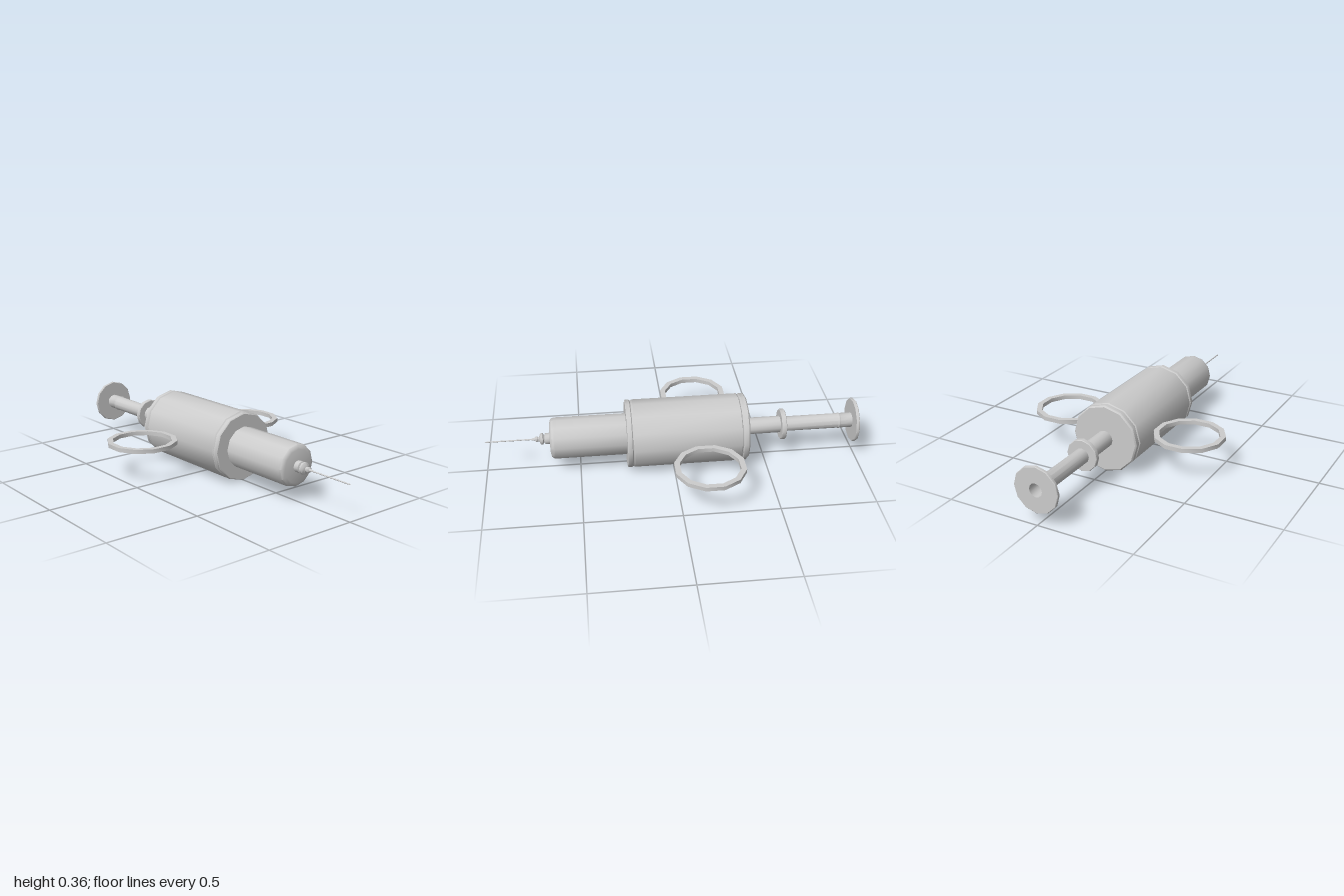
import * as THREE from 'three';
import { toCreasedNormals } from 'three/addons/utils/BufferGeometryUtils.js';

const SIDES = 12;
const AXIS_Y = 0.185;

export function createModel() {
  const model = new THREE.Group();
  const material = new THREE.MeshStandardMaterial({ color: 0xcccccc });

  // Revolves [radius, height] points; sharp profile corners stay creased.
  const revolve = (profile, phase = 0) => toCreasedNormals(
    new THREE.LatheGeometry(profile.map(([r, h]) => new THREE.Vector2(r, h)), SIDES, phase), 0.65);

  const add = (name, geometry, x, y, z) => {
    const mesh = new THREE.Mesh(geometry, material);
    mesh.name = name;
    mesh.position.set(x, y, z);
    model.add(mesh);
  };

  // Parts along the syringe axis: heights are z positions, back to front.
  const addAxial = (name, profile) =>
    add(name, revolve(profile).rotateX(Math.PI / 2), 0, AXIS_Y, 0);

  // Wide casing with a grooved collar at each end
  addAxial('casing', [
    [0, -0.395], [0.174, -0.395], [0.181, -0.388], [0.181, -0.366], [0.176, -0.361],
    [0.176, -0.357], [0.181, -0.352], [0.181, 0.212], [0.176, 0.217],
    [0.176, 0.221], [0.181, 0.226], [0.181, 0.246], [0.177, 0.25], [0, 0.25],
  ]);

  // Narrow front barrel with a rounded shoulder
  addAxial('barrel', [
    [0.11, 0.24], [0.11, 0.627], [0.107, 0.64], [0.099, 0.648], [0.086, 0.652], [0, 0.652],
  ]);

  // Stepped hub holding the needle
  addAxial('needleHub', [
    [0.03, 0.645], [0.03, 0.678], [0.02, 0.682], [0.02, 0.686], [0.031, 0.69],
    [0.031, 0.7], [0.022, 0.707], [0.012, 0.71], [0.012, 0.719], [0.015, 0.722],
    [0.015, 0.728], [0.008, 0.734], [0.005, 0.75], [0, 0.75],
  ]);
  addAxial('needle', [[0.0035, 0.72], [0.0035, 0.985], [0, 1]]);

  // Plunger: guide sleeve, stop disc, rod and hollow thumb flange
  addAxial('plungerSleeve', [[0.045, -0.6], [0.045, -0.39]]);
  addAxial('stopDisc', [
    [0, -0.611], [0.081, -0.611], [0.084, -0.608], [0.084, -0.588], [0.081, -0.585], [0, -0.585],
  ]);
  addAxial('plungerRod', [
    [0, -0.91], [0.035, -0.91], [0.035, -1], [0.117, -1], [0.12, -0.997], [0.12, -0.985],
    [0.117, -0.982], [0.04, -0.982], [0.04, -0.918], [0.043, -0.914], [0.043, -0.908],
    [0.04, -0.904], [0.04, -0.605],
  ]);

  // Flat finger rings on both sides
  for (const side of [-1, 1]) {
    const ring = revolve([
      [0.157, -0.011], [0.186, -0.011], [0.186, 0.011], [0.157, 0.011], [0.157, -0.011],
    ], Math.PI / SIDES);
    add(side > 0 ? 'leftFingerRing' : 'rightFingerRing', ring, side * 0.356, AXIS_Y + 0.001, -0.154);
  }

  return model;
}
